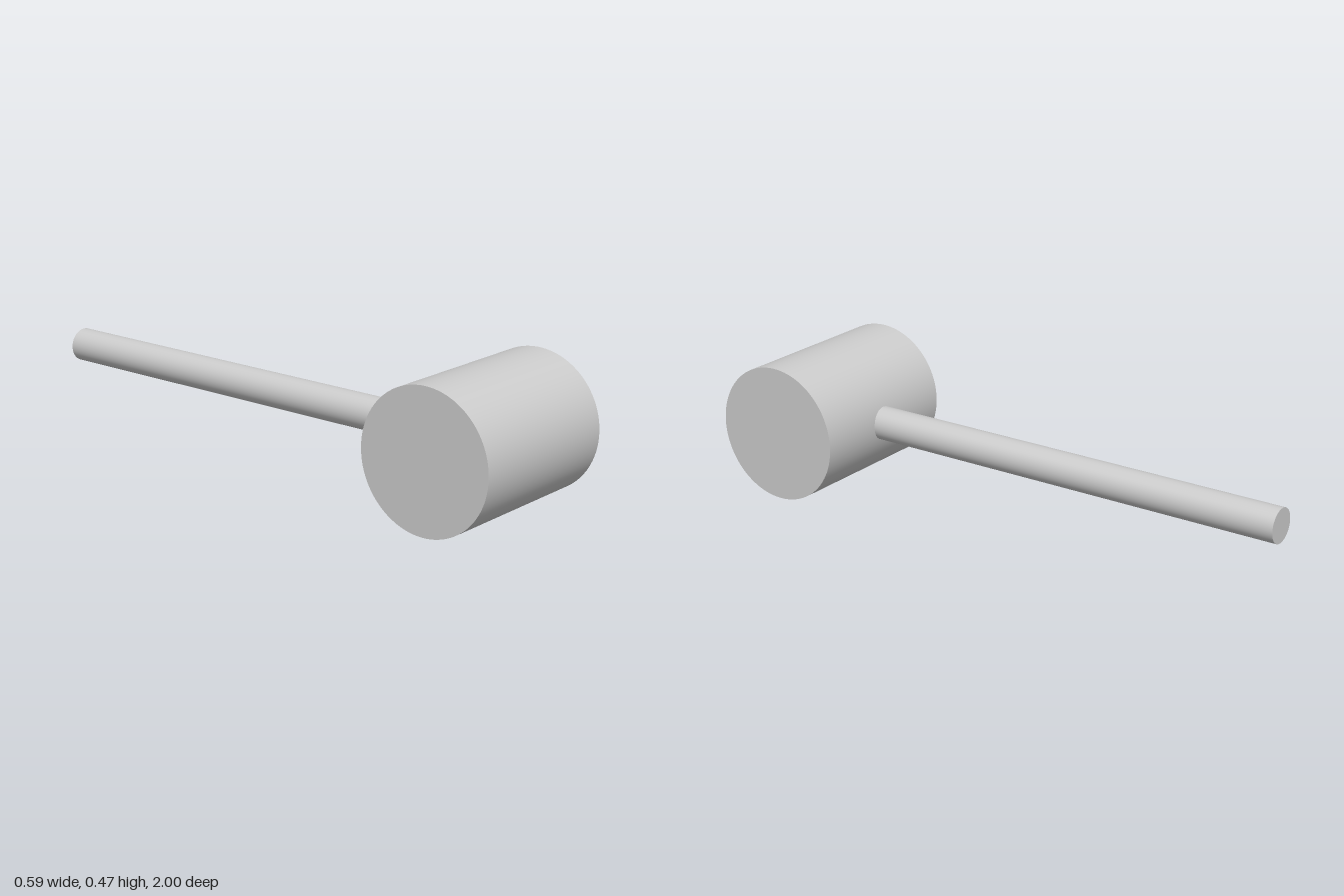
import * as THREE from 'three';

const HEAD_RADIUS = 0.235;
const HEAD_LENGTH = 0.59;
const HANDLE_RADIUS = 0.058;
const HANDLE_BACK = -1;
const HANDLE_FRONT = 0.6; // slightly embedded in the head

export function createModel() {
  const group = new THREE.Group();
  group.name = 'mallet';
  const material = new THREE.MeshStandardMaterial({ color: 0xcccccc });

  function addCylinder(name, radius, length, segments) {
    const mesh = new THREE.Mesh(new THREE.CylinderGeometry(radius, radius, length, segments), material);
    mesh.name = name;
    group.add(mesh);
    return mesh;
  }

  // Head: wide cylinder lying across x
  const head = addCylinder('head', HEAD_RADIUS, HEAD_LENGTH, 96);
  head.rotation.z = Math.PI / 2;
  head.position.set(0, HEAD_RADIUS, 1 - HEAD_RADIUS);

  // Handle: thin rod running backwards from the middle of the head
  const handle = addCylinder('handle', HANDLE_RADIUS, HANDLE_FRONT - HANDLE_BACK, 64);
  handle.rotation.x = Math.PI / 2;
  handle.position.set(0, HEAD_RADIUS, (HANDLE_FRONT + HANDLE_BACK) / 2);

  return group;
}
